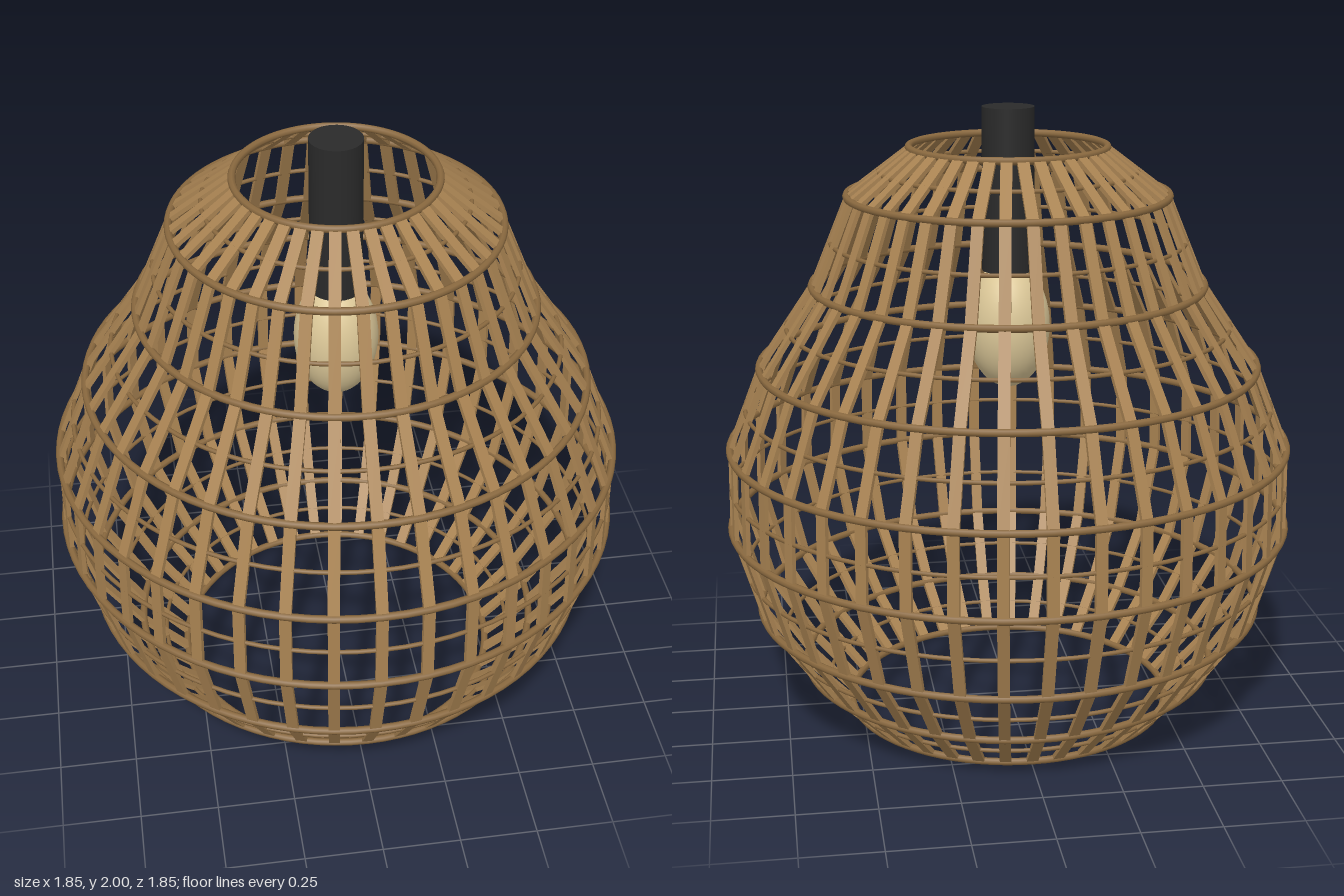
import * as THREE from 'three';

// Cage profile from bottom to top: [radius, height] at each main hoop
const PROFILE = [
  [0.53, 0.012], [0.677, 0.16], [0.822, 0.365], [0.908, 0.65], [0.904, 0.915],
  [0.8, 1.18], [0.625, 1.44], [0.508, 1.725], [0.31, 1.875],
].map(([r, y]) => new THREE.Vector2(r, y));

const RIBS = 40, RIB_WIDTH = 0.036, RIB_THICKNESS = 0.014;

const material = (name, color) => {
  const m = new THREE.MeshStandardMaterial({ color });
  m.name = name;
  return m;
};

// Flat strip that follows the profile, lying in the x-y plane
function ribGeometry() {
  const offset = (side) => PROFILE.map((p, i) => {
    const a = PROFILE[Math.max(i - 1, 0)];
    const b = PROFILE[Math.min(i + 1, PROFILE.length - 1)];
    const d = b.clone().sub(a).normalize();
    return new THREE.Vector2(p.x + d.y * side, p.y - d.x * side);
  });
  const h = RIB_THICKNESS / 2;
  const shape = new THREE.Shape([...offset(h), ...offset(-h).reverse()]);
  const geometry = new THREE.ExtrudeGeometry(shape, { depth: RIB_WIDTH, bevelEnabled: false });
  return geometry.translate(0, 0, -RIB_WIDTH / 2);
}

function hoop(name, radius, y, tube, mat) {
  const geometry = new THREE.TorusGeometry(radius, tube, 8, 80).rotateX(Math.PI / 2);
  const mesh = new THREE.Mesh(geometry, mat);
  mesh.name = name;
  mesh.position.y = y;
  return mesh;
}

export function createModel() {
  const model = new THREE.Group();
  model.name = 'pendantLamp';
  const cane = material('cane', 0xa98352);
  const darkCane = material('dark cane', 0x8a693f);
  const black = material('black socket', 0x2a2a2a);
  const cream = material('cream glass', 0xdcc898);

  // Vertical ribs
  const ribs = new THREE.Group();
  ribs.name = 'ribs';
  const strip = ribGeometry();
  for (let i = 0; i < RIBS; i++) {
    const rib = new THREE.Mesh(strip, cane);
    rib.name = 'rib';
    rib.rotation.y = (i / RIBS) * Math.PI * 2;
    ribs.add(rib);
  }
  model.add(ribs);

  // Main hoops at the profile corners, thin hoops halfway between
  const hoops = new THREE.Group();
  hoops.name = 'hoops';
  PROFILE.forEach((p, i) => {
    hoops.add(hoop('mainHoop', p.x + 0.003, p.y, 0.012, darkCane));
    const next = PROFILE[i + 1];
    if (next) hoops.add(hoop('thinHoop', (p.x + next.x) / 2, (p.y + next.y) / 2, 0.007, darkCane));
  });
  model.add(hoops);

  // Lamp socket with a slightly eased rim
  const socket = new THREE.Mesh(new THREE.CylinderGeometry(0.083, 0.083, 0.52, 32), black);
  socket.name = 'socket';
  socket.position.y = 1.74;
  model.add(socket);

  // Bulb
  const bulb = new THREE.Mesh(new THREE.SphereGeometry(0.135, 32, 24), cream);
  bulb.name = 'bulb';
  bulb.scale.y = 1.52;
  bulb.position.y = 1.3;
  model.add(bulb);

  return model;
}
